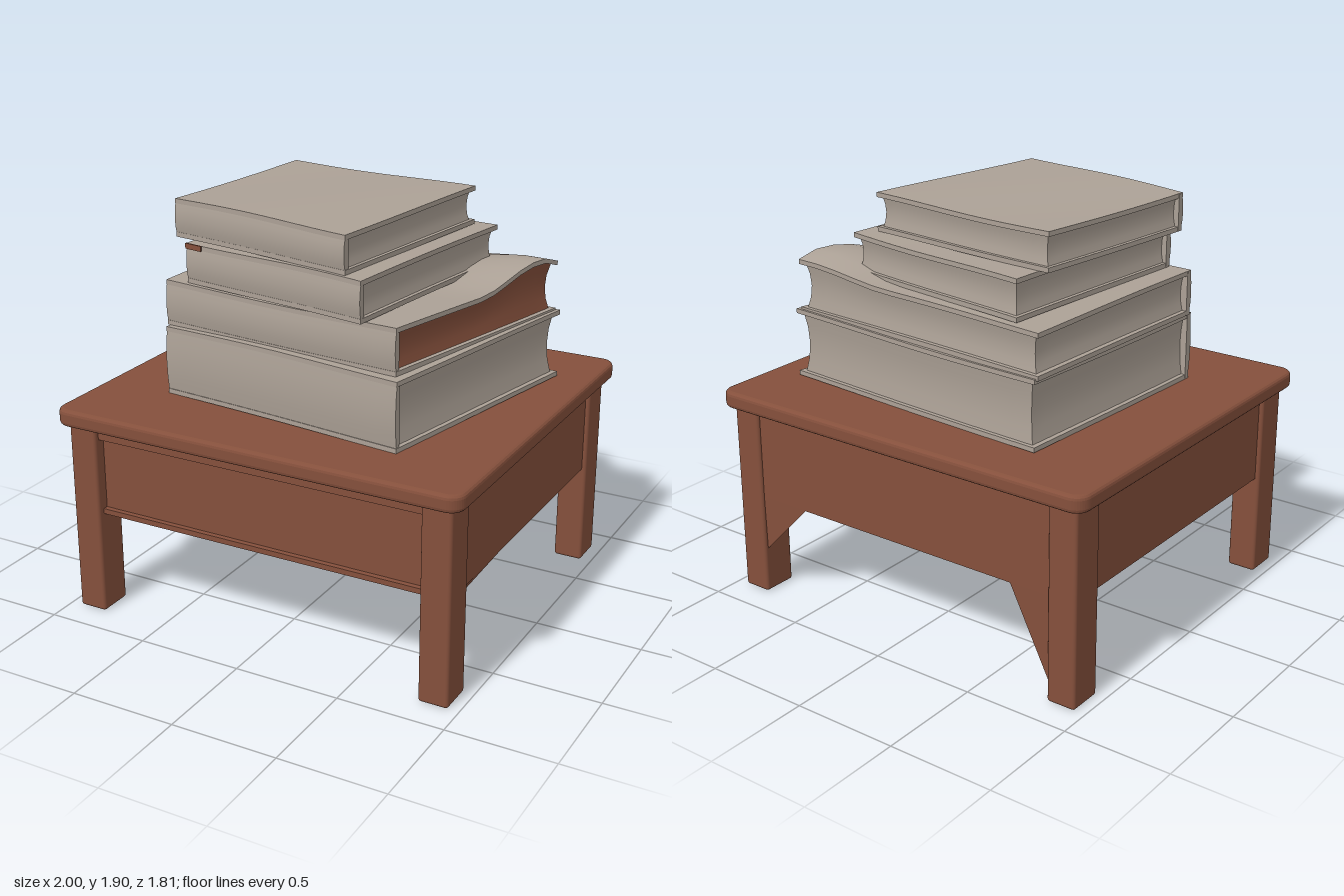
import * as THREE from 'three';
import { ConvexGeometry } from 'three/addons/geometries/ConvexGeometry.js';
import { RoundedBoxGeometry } from 'three/addons/geometries/RoundedBoxGeometry.js';

const wood = new THREE.MeshStandardMaterial({ color: 0x85503c });
wood.name = 'brown wood';
const paper = new THREE.MeshStandardMaterial({ color: 0xaca196 });
paper.name = 'warm grey';

function add(parent, name, geometry, material, x = 0, y = 0, z = 0) {
  const mesh = new THREE.Mesh(geometry, material);
  mesh.name = name;
  mesh.position.set(x, y, z);
  parent.add(mesh);
  return mesh;
}

// Box from (x0,y0,z0) to (x1,y1,z1)
function block(parent, name, [x0, y0, z0], [x1, y1, z1], radius = 0) {
  const s = [x1 - x0, y1 - y0, z1 - z0];
  const g = radius ? new RoundedBoxGeometry(...s, 2, radius) : new THREE.BoxGeometry(...s);
  return add(parent, name, g, wood, (x0 + x1) / 2, (y0 + y1) / 2, (z0 + z1) / 2);
}

// Skewed slab on four corners [backLeft, backRight, frontRight, frontLeft] as [x, z].
// warp(u, v, t) gives [shift in u, lift in y, shift in v].
function slab(corners, y0, y1, warp) {
  const g = new THREE.BoxGeometry(1, 1, 1, 12, 4, 12);
  const p = g.attributes.position;
  const [bl, br, fr, fl] = corners;
  for (let i = 0; i < p.count; i++) {
    let u = p.getX(i) + 0.5, v = p.getZ(i) + 0.5;
    const t = p.getY(i) + 0.5;
    const [du, dy, dv] = warp(u, v, t);
    u += du;
    v += dv;
    const at = k => (1 - v) * ((1 - u) * bl[k] + u * br[k]) + v * ((1 - u) * fl[k] + u * fr[k]);
    p.setXYZ(i, at(0), y0 + (y1 - y0) * t + dy, at(1));
  }
  g.computeVertexNormals();
  return g;
}

// Book: two covers, a spine along the front and a hollowed page block
function book(parent, name, corners, y0, y1, { lift = () => 0, redEdge = false } = {}) {
  const group = new THREE.Group();
  group.name = name;
  const c = 0.022;
  const wave = (u, v) => 0.005 * Math.sin(5 * u + 3 * v + y0 * 9);
  const cover = top => (u, v) => [0, wave(u, v) * (top ? 1 : 0.4) + (top ? lift(u, v) : 0), 0];
  add(group, 'bottomCover', slab(corners, y0, y0 + c, cover(false)), paper);
  add(group, 'topCover', slab(corners, y1 - c, y1, cover(true)), paper);
  const inset = 0.016;
  const pages = (u, v, t) => {
    const hollow = 0.012 * 4 * t * (1 - t);
    return [(0.5 - u) * 2 * (inset + hollow), t * (wave(u, v) + lift(u, v)),
      v < 0.5 ? (1 - 2 * v) * (inset + hollow) : (1 - 2 * v) * 0.004];
  };
  const g = slab(corners, y0 + c * 0.6, y1 - c * 0.6, pages);
  // Box side order: right, left, top, bottom, front, back
  g.groups.forEach((side, i) => { side.materialIndex = redEdge && i === 0 ? 1 : 0; });
  add(group, 'pages', g, [paper, wood]);
  // Rounded spine on the front edge
  const [, , fr, fl] = corners;
  const spine = slab([[fl[0], fl[1] - 0.03], [fr[0], fr[1] - 0.03], fr, fl], y0 + 0.004, y1 - 0.004,
    (u, v, t) => [0, wave(u, 1) * t, v * 0.45 * (4 * t * (1 - t) - 0.4)]);
  add(group, 'spine', spine, paper);
  parent.add(group);
}

export function createModel() {
  const model = new THREE.Group();
  model.name = 'tableWithBooks';

  const table = new THREE.Group();
  table.name = 'table';
  model.add(table);

  // Table top: rounded rectangle with softened edges
  const b = 0.02, w = 1 - b, d = 0.905 - b, r = 0.05;
  const s = new THREE.Shape();
  s.moveTo(-w + r, -d);
  s.absarc(w - r, -d + r, r, -Math.PI / 2, 0);
  s.absarc(w - r, d - r, r, 0, Math.PI / 2);
  s.absarc(-w + r, d - r, r, Math.PI / 2, Math.PI);
  s.absarc(-w + r, -d + r, r, Math.PI, Math.PI * 1.5);
  const topGeo = new THREE.ExtrudeGeometry(s, {
    depth: 0.04, bevelSize: b, bevelThickness: b, bevelSegments: 3, curveSegments: 5,
  });
  topGeo.rotateX(-Math.PI / 2);
  add(table, 'tableTop', topGeo, wood, 0, 0.94, 0);

  // Legs
  for (const x of [-0.88, 0.88]) for (const z of [-0.775, 0.775])
    block(table, 'leg', [x - 0.07, 0, z - 0.085], [x + 0.07, 0.93, z + 0.085], 0.015);

  // Solid apron and the frame around the front panel
  block(table, 'apron', [-0.93, 0.49, -0.845], [0.93, 0.93, 0.8]);
  block(table, 'frontTopRail', [-0.81, 0.86, 0.79], [0.81, 0.93, 0.835]);
  block(table, 'frontBottomRail', [-0.81, 0.49, 0.79], [0.81, 0.515, 0.825]);

  // Sloped braces between apron and legs
  const brace = (...pts) => add(table, 'brace',
    new ConvexGeometry(pts.map(p => new THREE.Vector3(...p))), wood);
  brace([-0.81, 0.08, -0.84], [-0.61, 0.49, -0.845], [-0.82, 0.49, -0.845], [-0.82, 0.49, -0.6]);
  brace([0.81, 0.22, -0.84], [0.55, 0.49, -0.845], [0.82, 0.49, -0.845], [0.82, 0.49, -0.62]);
  brace([0.83, 0.33, 0.695], [0.93, 0.49, 0.32], [0.93, 0.49, 0.7], [0.82, 0.49, 0.7]);

  // Stack of books, bottom to top
  const stack = new THREE.Group();
  stack.name = 'bookStack';
  model.add(stack);
  book(stack, 'bottomBook', [[-0.59, -0.65], [0.83, -0.55], [0.58, 0.63], [-0.65, 0.5]], 1.003, 1.325);
  // The loose cover curls up at the back right corner
  const curl = (u, v) => 0.075 * THREE.MathUtils.smoothstep(u, 0.6, 0.95)
    * THREE.MathUtils.smoothstep(1 - v, 0.5, 0.85) * (1 - 0.45 * THREE.MathUtils.smoothstep(1 - v, 0.9, 1));
  book(stack, 'secondBook', [[-0.6, -0.64], [0.81, -0.54], [0.55, 0.58], [-0.66, 0.47]], 1.32, 1.53,
    { lift: curl, redEdge: true });
  book(stack, 'thirdBook', [[-0.47, -0.61], [0.54, -0.46], [0.4, 0.61], [-0.55, 0.46]], 1.535, 1.72);
  book(stack, 'topBook', [[-0.53, -0.47], [0.45, -0.4], [0.31, 0.58], [-0.63, 0.42]], 1.725, 1.9);

  // Worn brown patch on the third book's front
  const patch = new THREE.Group();
  patch.name = 'wornPatch';
  patch.position.set(-0.5, 1.708, 0.482);
  patch.rotation.y = -Math.atan2(0.15, 0.95);
  add(patch, 'wornCorner', new THREE.BoxGeometry(0.09, 0.025, 0.008), wood);
  stack.add(patch);

  return model;
}
